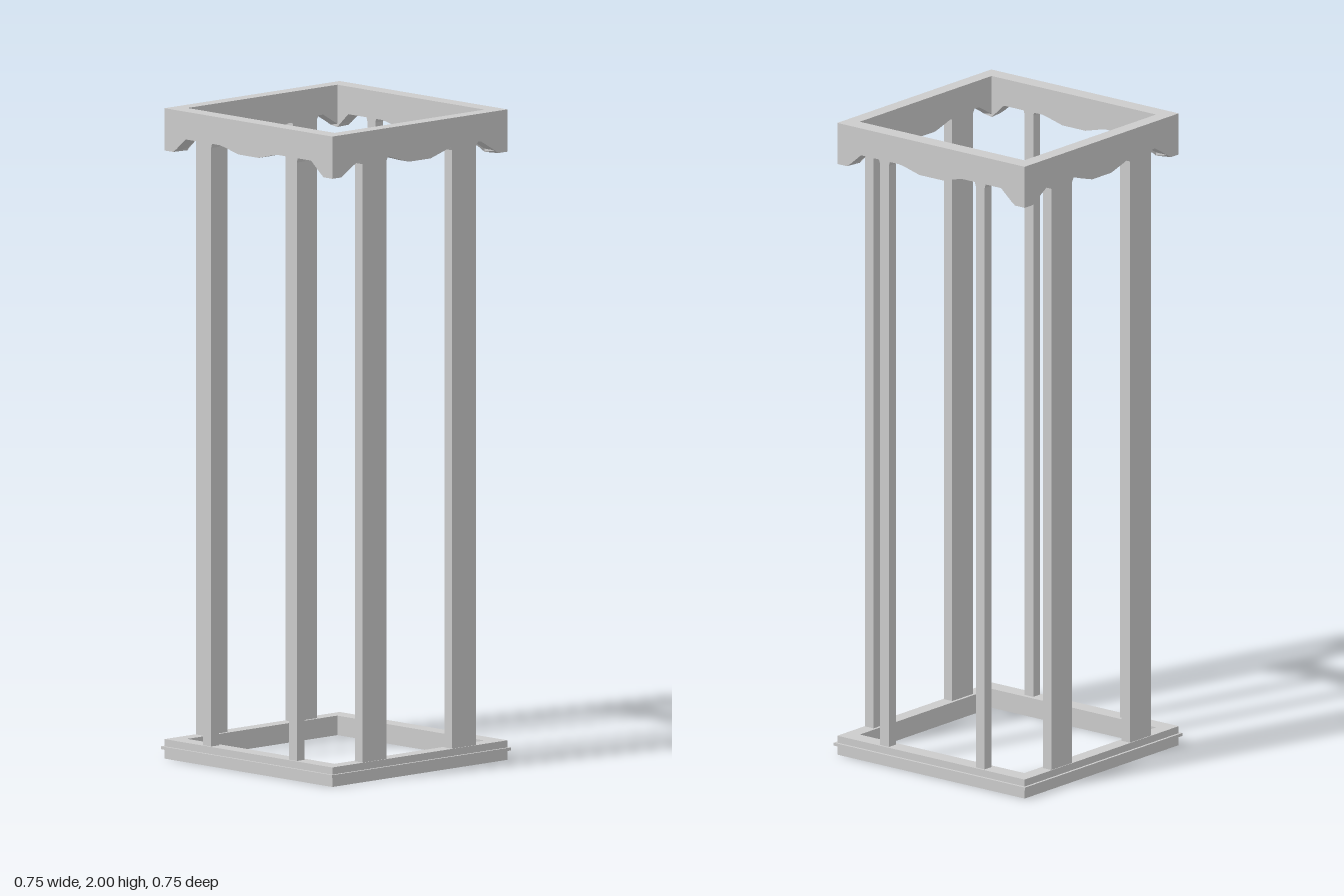
import * as THREE from 'three';

const OUT = 0.368, IN_X = 0.323, IN_Z = 0.315, TOP = 2;
const mat = new THREE.MeshStandardMaterial({ color: 0xcccccc, flatShading: true });

function add(parent, name, geo, x = 0, y = 0, z = 0) {
  const mesh = new THREE.Mesh(geo, mat);
  mesh.name = name;
  mesh.position.set(x, y, z);
  parent.add(mesh);
  return mesh;
}

// Horizontal rectangular frame standing on its own y = 0
function frame(outX, outZ, inX, inZ, height) {
  const rect = (T, a, b) => new T([[-a, -b], [a, -b], [a, b], [-a, b]].map(p => new THREE.Vector2(...p)));
  const shape = rect(THREE.Shape, outX, outZ);
  shape.holes.push(rect(THREE.Path, inX, inZ));
  return new THREE.ExtrudeGeometry(shape, { depth: height, bevelEnabled: false }).rotateX(-Math.PI / 2);
}

// Scalloped board; half profile runs from the end to the middle, ends are mitred
function headerBoard(half, thickness, innerHalf) {
  const lower = [...half, ...half.map(([x, y]) => [-x, y]).reverse()];
  const pts = [[-OUT, TOP], ...lower.map(([x, y]) => [-x, y]), [OUT, TOP]];
  const shape = new THREE.Shape(pts.map(p => new THREE.Vector2(...p)));
  const geo = new THREE.ExtrudeGeometry(shape, { depth: thickness, bevelEnabled: false });
  const pos = geo.attributes.position;
  for (let i = 0; i < pos.count; i++) {
    if (pos.getZ(i) < thickness / 2) {
      pos.setX(i, THREE.MathUtils.clamp(pos.getX(i), -innerHalf, innerHalf));
    }
  }
  geo.computeVertexNormals();
  return geo;
}

// Straight post with a small flared capital
function post(name, w, d, x, z) {
  const g = new THREE.Group();
  g.name = name;
  const y0 = 0.055, y1 = 1.9, y2 = 1.92;
  add(g, 'shaft', new THREE.BoxGeometry(w, y1 - y0, d), 0, (y0 + y1) / 2, 0);
  const cap = new THREE.BoxGeometry(w, y2 - y1, d);
  const pos = cap.attributes.position;
  for (let i = 0; i < pos.count; i++) {
    if (pos.getY(i) > 0) {
      // flare only along the length of the board
      if (w > d || name === 'frontPost' || name === 'backPost') pos.setX(i, pos.getX(i) * 1.35);
      else pos.setZ(i, pos.getZ(i) * 1.25);
    }
  }
  cap.computeVertexNormals();
  add(g, 'capital', cap, 0, (y1 + y2) / 2, 0);
  g.position.set(x, 0, z);
  return g;
}

export function createModel() {
  const model = new THREE.Group();
  model.name = 'openFrameTower';

  // Base frame with a thin projecting lip
  add(model, 'baseFrame', frame(OUT, OUT, IN_X, IN_Z, 0.06));
  add(model, 'baseLip', frame(0.376, 0.376, OUT - 0.005, OUT - 0.005, 0.009), 0, 0.029, 0);

  // Scalloped header
  const frontProfile = [[OUT, 1.87], [0.33, 1.87], [0.315, 1.881], [0.275, 1.915],
    [0.125, 1.915], [0.1, 1.91], [0.045, 1.896]];
  const sideProfile = [[OUT, 1.87], [0.33, 1.87], [0.315, 1.88], [0.255, 1.915],
    [0.14, 1.915], [0.1, 1.902], [0.045, 1.886]];
  const frontGeo = headerBoard(frontProfile, OUT - IN_Z, IN_X);
  const sideGeo = headerBoard(sideProfile, OUT - IN_X, IN_Z);
  add(model, 'frontHeader', frontGeo, 0, 0, IN_Z);
  add(model, 'backHeader', frontGeo, 0, 0, -IN_Z).rotation.y = Math.PI;
  add(model, 'leftHeader', sideGeo, IN_X, 0, 0).rotation.y = Math.PI / 2;
  add(model, 'rightHeader', sideGeo, -IN_X, 0, 0).rotation.y = -Math.PI / 2;

  // Slim posts front and back, broad posts on the sides
  for (const a of [-1, 1]) {
    for (const b of [-1, 1]) {
      model.add(post(b > 0 ? 'frontPost' : 'backPost', 0.035, 0.033, a * 0.188, b * 0.345));
      model.add(post(a > 0 ? 'leftPost' : 'rightPost', 0.033, 0.1, a * 0.349, b * 0.188));
    }
  }
  return model;
}
